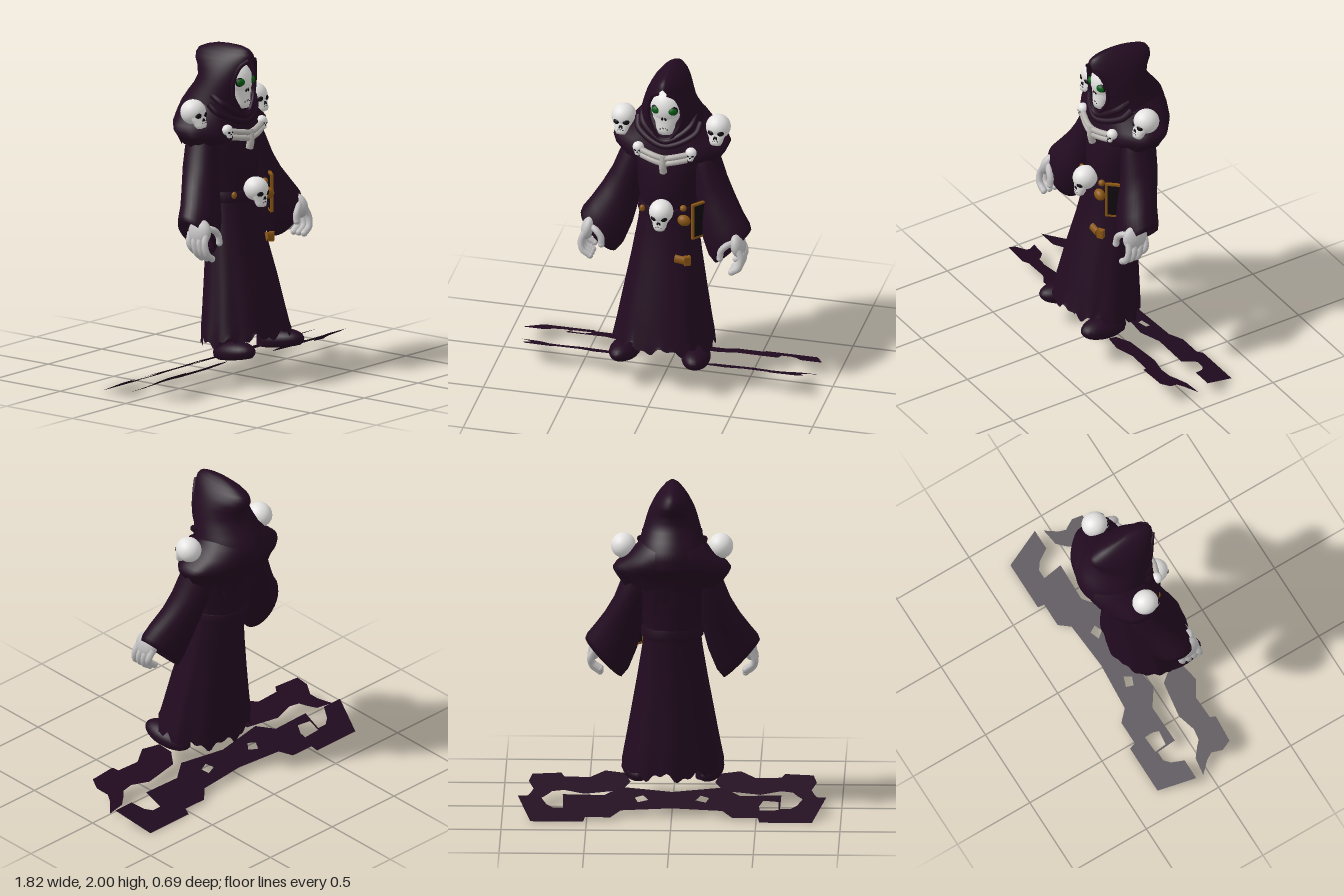
import * as THREE from 'three';
import { mergeVertices } from 'three/addons/utils/BufferGeometryUtils.js';

const mat = (name, color, side = THREE.FrontSide) => {
  const m = new THREE.MeshStandardMaterial({ color, side });
  m.name = name;
  return m;
};
const M = {
  robe: mat('dark purple cloth', 0x220b20, THREE.DoubleSide),
  bone: mat('white bone', 0xe4e3e2),
  hand: mat('pale skin', 0xc4c2c2),
  rib: mat('grey bone', 0xb6b2ae),
  green: mat('green eye', 0x065c14),
  gold: mat('dull gold', 0x8a5614),
  black: mat('black', 0x100a10),
};

function add(parent, name, geo, material, pos = [0, 0, 0], scale = [1, 1, 1], rot = [0, 0, 0]) {
  const m = new THREE.Mesh(geo, material);
  m.name = name;
  m.position.set(...pos);
  m.scale.set(...scale);
  m.rotation.set(...rot);
  parent.add(m);
  return m;
}

// Smooth surface from a rule: u and v are whole-number steps
function grid(nu, nv, fn) {
  const pos = [], idx = [], w = nu + 1;
  for (let v = 0; v <= nv; v++) for (let u = 0; u <= nu; u++) pos.push(...fn(u, v));
  for (let v = 0; v < nv; v++) for (let u = 0; u < nu; u++) {
    const a = v * w + u, b = a + w;
    idx.push(a, b, a + 1, a + 1, b, b + 1);
  }
  let g = new THREE.BufferGeometry();
  g.setAttribute('position', new THREE.Float32BufferAttribute(pos, 3));
  g.setIndex(idx);
  g = mergeVertices(g, 1e-5);
  g.computeVertexNormals();
  return g;
}

// Rows run top to bottom: [y, half width, back z, front z, half width of a front opening]
function loft(rows, { seg = 48, a0 = 0, a1 = Math.PI * 2, fold = 0, hem = 0, tilt = 0, grow = 1 } = {}) {
  const n = rows.length - 1;
  return grid(seg, n, (u, v) => {
    const [y, rx, zb, zf, open = 0] = rows[v];
    const cut = open ? Math.asin(open / rx) : 0;
    const a = a0 + cut + (a1 - a0 - 2 * cut) * u / seg;
    const k = grow * (1 + fold * (v / n) * Math.cos(a * 10));
    const rag = v === n ? hem * (0.6 * Math.sin(a * 9) + 0.4 * Math.sin(a * 21)) + tilt * Math.cos(a) : 0;
    return [rx * k * Math.sin(a), y + rag, (zb + zf) / 2 + (zf - zb) / 2 * k * Math.cos(a)];
  });
}

const curve = pts => new THREE.CatmullRomCurve3(pts.map(p => new THREE.Vector3(...p)));
const tube = (pts, r, seg = 16) => new THREE.TubeGeometry(curve(pts), seg, r, 8);
const ball = new THREE.SphereGeometry(1, 24, 16);

// Skull in units of its cranium radius, facing +z
function skull(name, pos, scale, eyeY, eyeX, { eyeMat, tip = 0 } = {}) {
  const g = new THREE.Group();
  g.name = name;
  add(g, 'cranium', ball, M.bone);
  add(g, 'faceBone', loft([[0.45, 0.55, -0.2, 0.75], [0.2, 0.8, -0.3, 0.9], [0, 0.86, -0.3, 0.95], [-0.3, 0.79, -0.2, 0.88],
    [-0.55, 0.78, -0.2, 0.88], [-0.8, 0.62, 0, 0.88], [-1.1, 0.56, 0.05, 0.93], [-1.38, 0.43, 0.2, 0.88], [-1.45, 0, 0.5, 0.5]],
  { seg: 24 }), M.bone);
  for (const s of [-1, 1]) {
    add(g, 'eyeSocket', ball, M.black, [s * eyeX, eyeY, 0.73], [0.29, 0.25, 0.21], [0, s * 0.45, 0]);
    if (eyeMat) add(g, 'eye', ball, eyeMat, [s * eyeX, eyeY, 0.8], [0.28, 0.21, 0.19], [0, s * 0.45, 0]);
    add(g, 'nostril', ball, M.black, [s * 0.08, eyeY - 0.42, 0.86], [0.08, 0.16, 0.08], [0, 0, s * 0.3]);
  }
  add(g, 'mouthLine', new THREE.BoxGeometry(0.5, 0.05, 0.1), M.black, [0, -1.04, 0.85]);
  for (let i = -2; i <= 2; i++)
    add(g, 'toothGap', new THREE.BoxGeometry(0.025, 0.2, 0.06), M.black, [i * 0.1, -1.04, 0.89 - i * i * 0.015]);
  g.position.set(...pos);
  g.scale.set(...scale);
  g.rotation.x = tip;
  return g;
}

// Sleeve, hand, boot and shoulder skull of the left side
function buildSide() {
  const g = new THREE.Group();
  const rows = [[0.27, 1.5, 0.12, 1.44, -0.07, 0.09], [0.3, 1.42, 0.13, 1.36, -0.06, 0.11], [0.345, 1.3, 0.16, 1.24, -0.04, 0.115],
    [0.4, 1.2, 0.175, 1.12, -0.01, 0.115], [0.46, 1.11, 0.21, 0.97, 0.03, 0.12], [0.505, 1.05, 0.26, 0.84, 0.05, 0.12],
    [0.515, 1.02, 0.3, 0.79, 0.055, 0.11], [0.49, 1.02, 0.32, 0.83, 0.06, 0.09], [0.42, 1.12, 0.3, 1.02, 0.03, 0.05]];
  add(g, 'sleeve', grid(32, rows.length - 1, (u, v) => {
    const [ox, oy, ix, iy, cz, hz] = rows[v], a = u / 32 * Math.PI * 2, c = Math.cos(a) / 2;
    return [(ox + ix) / 2 + (ox - ix) * c, (oy + iy) / 2 + (oy - iy) * c, cz - hz * Math.sin(a)];
  }), M.robe);

  const hand = new THREE.Group();
  hand.name = 'hand';
  add(hand, 'wrist', tube([[0.38, 1.08, 0.06], [0.42, 1.02, 0.08], [0.45, 0.96, 0.11]], 0.042), M.hand);
  add(hand, 'palm', ball, M.hand, [0.452, 0.955, 0.115], [0.043, 0.08, 0.08], [0, 0, 0.2]);
  for (let i = 0; i < 4; i++) {
    const z = 0.17 - i * 0.039, d = i === 3 ? 0.025 : 0;
    add(hand, 'finger', tube([[0.46, 0.95, z], [0.485, 0.89, z + 0.01], [0.475, 0.835 + d, z + 0.02], [0.43, 0.8 + d, z + 0.02]], 0.02), M.hand);
    add(hand, 'fingertip', ball, M.hand, [0.43, 0.8 + d, z + 0.02], [0.02, 0.02, 0.02]);
  }
  add(hand, 'thumb', tube([[0.44, 0.98, 0.14], [0.395, 0.965, 0.175], [0.365, 0.93, 0.185], [0.36, 0.885, 0.19]], 0.02), M.hand);
  add(hand, 'thumbTip', ball, M.hand, [0.36, 0.885, 0.19], [0.02, 0.02, 0.02]);
  g.add(hand);

  // Boot with flattened sole
  const boot = ball.clone(), p = boot.attributes.position;
  for (let i = 0; i < p.count; i++) p.setY(i, Math.max(p.getY(i), -0.6));
  boot.computeVertexNormals();
  add(g, 'boot', boot, M.robe, [0.215, 0.197, 0.185], [0.085, 0.066, 0.16], [-0.15, 0.12, 0]);
  add(g, 'bootShaft', new THREE.CylinderGeometry(0.07, 0.065, 0.26, 20), M.robe, [0.2, 0.285, 0.1]);

  g.add(skull('shoulderSkull', [0.287, 1.628, -0.07], [0.074, 0.074, 0.078], -0.35, 0.38, { tip: -0.25 }));
  g.add(skull('chestSkull', [0.16, 1.517, 0.088], [0.034, 0.032, 0.032], -0.3, 0.38));
  return g;
}

export function createModel() {
  const model = new THREE.Group();
  model.name = 'hoodedFigure';

  // Skirt with a raised front panel
  const skirt = [[1.13, 0.165, -0.16, 0.13], [1, 0.178, -0.145, 0.15], [0.8, 0.21, -0.138, 0.195], [0.6, 0.245, -0.138, 0.255],
    [0.4, 0.28, -0.138, 0.305], [0.32, 0.295, -0.138, 0.325], [0.25, 0.305, -0.136, 0.335]];
  add(model, 'skirt', loft(skirt, { seg: 120, fold: 0.022, hem: 0.035, tilt: 0.035 }), M.robe);
  add(model, 'frontPanel', loft(skirt, { seg: 40, a0: -0.46, a1: 0.4, hem: 0.025, tilt: 0.035, grow: 1.04 }), M.robe);

  // Torso and belt
  add(model, 'torso', loft([[1.56, 0.19, -0.2, 0.06], [1.47, 0.24, -0.22, 0.09], [1.37, 0.215, -0.22, 0.115], [1.25, 0.19, -0.205, 0.13],
    [1.15, 0.175, -0.195, 0.13], [1.05, 0.17, -0.185, 0.12]], { fold: 0.01, hem: 0.012 }), M.robe);
  add(model, 'belt', loft([[1.135, 0.17, -0.19, 0.13], [1.13, 0.182, -0.2, 0.145], [1.075, 0.185, -0.2, 0.15], [1.065, 0.17, -0.185, 0.13]]), M.robe);

  // Mantle with rolled lower edge and a torn tail at the back
  add(model, 'mantle', loft([[1.72, 0.15, -0.25, 0.03], [1.65, 0.21, -0.325, 0.065], [1.59, 0.26, -0.34, 0.085], [1.54, 0.33, -0.33, 0.095],
    [1.505, 0.352, -0.31, 0.108], [1.47, 0.335, -0.29, 0.115], [1.425, 0.3, -0.275, 0.115]], { seg: 72, fold: 0.012, hem: 0.016, tilt: 0.015 }), M.robe);
  add(model, 'mantleTail', loft([[1.47, 0.25, -0.25, 0.1], [1.38, 0.23, -0.238, 0.1], [1.29, 0.21, -0.225, 0.1]],
    { seg: 40, a0: Math.PI - 0.9, a1: Math.PI + 0.9, hem: 0.06 }), M.robe);
  for (const [x, y, z, w] of [[0.17, 1.61, 0.03, 1.545], [0.14, 1.66, 0.045, 1.58]])
    add(model, 'cowlFold', tube([[-x - 0.02, y + 0.05, -0.03], [-x, y, z], [0, w, 0.098], [x, y, z], [x + 0.02, y + 0.05, -0.03]], 0.02, 32), M.robe);

  // Hood with a face opening and a thick rim
  const hood = [[2, 0, -0.03, -0.02], [1.992, 0.025, -0.12, 0.08], [1.975, 0.05, -0.19, 0.125], [1.95, 0.076, -0.25, 0.145],
    [1.92, 0.1, -0.268, 0.15, 0.03], [1.89, 0.117, -0.265, 0.148, 0.065], [1.85, 0.136, -0.24, 0.14, 0.086], [1.8, 0.152, -0.23, 0.13, 0.1],
    [1.75, 0.167, -0.255, 0.12, 0.102], [1.7, 0.183, -0.295, 0.11, 0.094], [1.65, 0.2, -0.33, 0.105, 0.07], [1.6, 0.215, -0.345, 0.1, 0.03],
    [1.55, 0.22, -0.34, 0.1]];
  add(model, 'hood', loft(hood), M.robe);
  const edge = hood.filter(r => r[4]).map(([y, rx, zb, zf, o]) => [o, y, (zb + zf) / 2 + (zf - zb) / 2 * Math.sqrt(1 - (o / rx) ** 2)]);
  const mirrored = edge.map(([x, y, z]) => [-x, y, z]).reverse();
  add(model, 'hoodRim', tube([...edge, ...mirrored], 0.012, 80), M.robe);
  model.add(skull('face', [0, 1.784, 0.02], [0.1, 0.114, 0.1], 0.04, 0.53, { eyeMat: M.green }));

  // Arms, boots and skulls on both sides
  for (const s of [1, -1]) {
    const side = buildSide();
    side.name = s > 0 ? 'leftSide' : 'rightSide';
    side.scale.x = s;
    model.add(side);
  }

  // Rib ornament on the chest
  for (const y of [1.492, 1.457])
    add(model, 'chestRib', tube([[-0.14, y + 0.015, 0.1], [-0.06, y, 0.125], [0, y - 0.01, 0.13], [0.06, y, 0.125], [0.14, y + 0.015, 0.1]], 0.018, 24), M.rib);
  add(model, 'sternum', tube([[0, 1.5, 0.125], [0, 1.44, 0.135], [0, 1.385, 0.125]], 0.023), M.rib);

  // Belt ornaments
  model.add(skull('beltSkull', [0, 1.147, 0.175], [0.072, 0.072, 0.076], -0.25, 0.42));
  add(model, 'beltStud', ball, M.gold, [-0.13, 1.12, 0.115], [0.017, 0.022, 0.015]);
  add(model, 'pouch', ball, M.gold, [0.135, 1.095, 0.16], [0.04, 0.034, 0.03], [0, 0, -0.3]);
  add(model, 'pouchKnob', ball, M.gold, [0.125, 1.165, 0.14], [0.02, 0.02, 0.02]);
  add(model, 'strapBuckle', new THREE.CylinderGeometry(0.026, 0.026, 0.06, 14), M.gold, [0.113, 0.838, 0.18], [1, 1, 0.7], [0, 0, 1.45]);
  add(model, 'strapEnd', new THREE.BoxGeometry(0.04, 0.055, 0.03), M.gold, [0.155, 0.828, 0.165], [1, 1, 1], [0, 0.5, 0]);

  // Book hanging from the belt, framed in thin gold
  const book = new THREE.Group();
  book.name = 'book';
  add(book, 'cover', new THREE.BoxGeometry(0.095, 0.22, 0.014), M.black);
  for (const s of [-1, 1]) {
    add(book, 'coverEdge', new THREE.BoxGeometry(0.013, 0.228, 0.018), M.gold, [s * 0.045, 0, 0]);
    add(book, 'coverEnd', new THREE.BoxGeometry(0.1, 0.013, 0.018), M.gold, [0, s * 0.11, 0]);
  }
  book.position.set(0.213, 1.083, 0.11);
  book.rotation.y = 0.85;
  model.add(book);

  // Tilted tattered sheets near the ground
  const toShape = pts => new THREE.Shape(pts.map(q => new THREE.Vector2(...q)));
  const flip = pts => pts.map(([x, z]) => [-x, z]).reverse();
  function sheet(name, shape, height) {
    const g = new THREE.ShapeGeometry(shape), q = g.attributes.position;
    for (let i = 0; i < q.count; i++) q.setXYZ(i, q.getX(i), height(q.getY(i)), q.getY(i));
    g.computeVertexNormals();
    add(model, name, g, M.robe);
  }
  const back = [[0, -0.2], [0.15, -0.21], [0.3, -0.22], [0.36, -0.28], [0.51, -0.28], [0.52, -0.318], [0.83, -0.318], [0.87, -0.21], [0.91, -0.1],
    [0.78, -0.1], [0.74, -0.17], [0.7, -0.2], [0.64, -0.2], [0.645, -0.085], [0.4, -0.09], [0.3, -0.02], [0.15, -0.04], [0, -0.06]];
  const backShape = toShape([...back, ...flip(back.slice(1, -1))]);
  const hole = [[-0.63, -0.21], [-0.52, -0.215], [-0.515, -0.18], [-0.54, -0.13], [-0.63, -0.14]];
  const small = [[0.14, -0.13], [0.2, -0.15], [0.22, -0.11], [0.17, -0.09]];
  for (const h of [hole, small, flip(small)]) backShape.holes.push(toShape(h));
  sheet('backGroundSheet', backShape, z => (z + 0.318) * 0.43);
  const front = [[0.25, 0.12], [0.3, 0.05], [0.52, 0.02], [0.64, 0.05], [0.71, 0.04], [0.74, 0.01], [0.79, -0.03], [0.9, -0.045], [0.84, 0.02],
    [0.82, 0.06], [0.85, 0.12], [0.83, 0.18], [0.66, 0.19], [0.64, 0.16], [0.49, 0.155], [0.4, 0.21], [0.28, 0.19]];
  for (const f of [front, flip(front)]) sheet('frontGroundSheet', toShape(f), z => 0.05 + (z + 0.03) * 0.47);

  return model;
}
